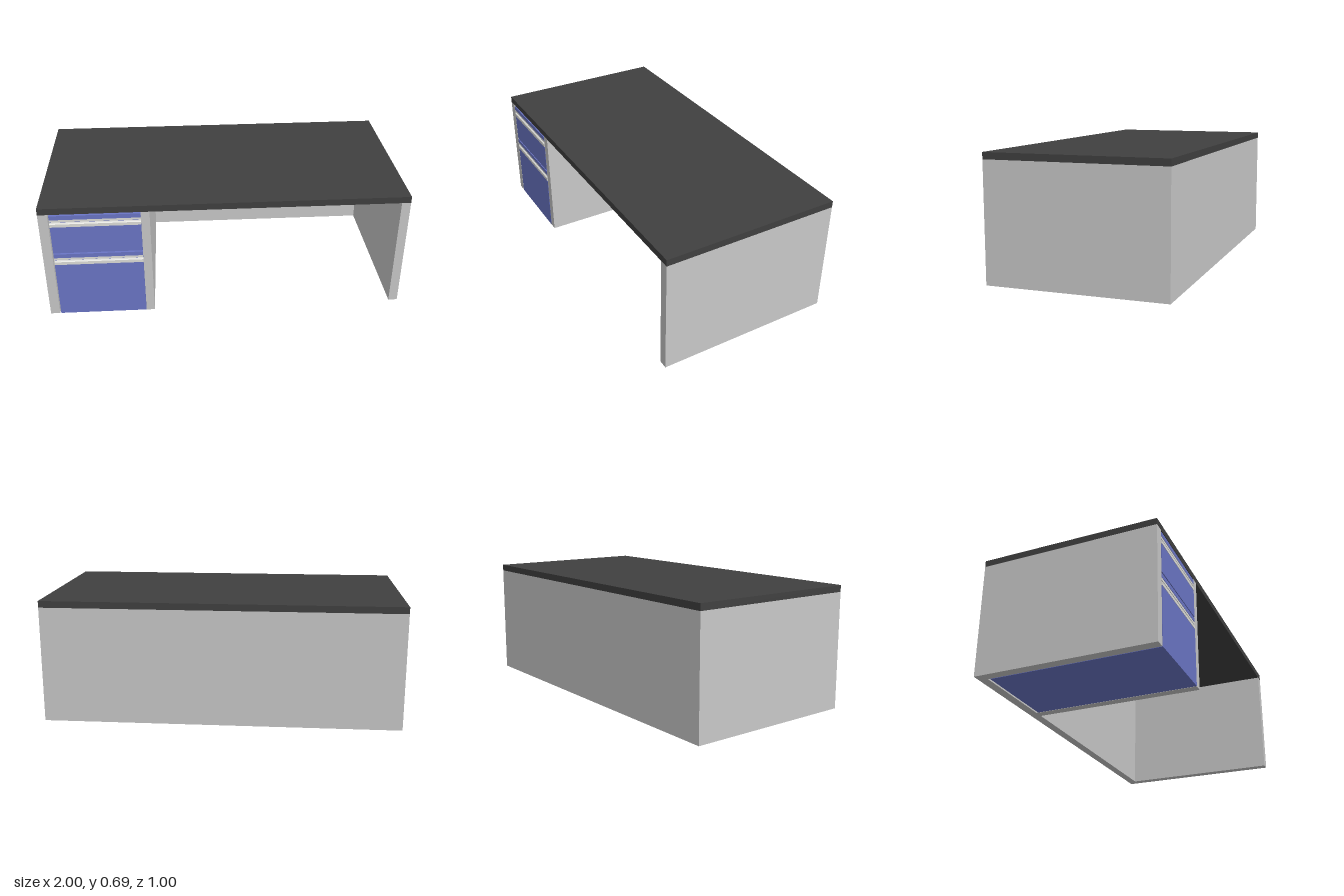
import * as THREE from 'three';

const mat = (name, color) => {
  const m = new THREE.MeshStandardMaterial({ color });
  m.name = name;
  return m;
};

export function createModel() {
  const desk = new THREE.Group();
  desk.name = 'desk';
  const charcoal = mat('charcoal top', 0x404040);
  const grey = mat('grey panel', 0xc8c8c8);
  const blue = mat('blue drawer', 0x6b76c6);
  const pale = mat('pale handle', 0xdededa);

  // box given by its minimum and maximum on each axis
  const box = (name, material, [x0, x1], [y0, y1], [z0, z1], parent = desk) => {
    const mesh = new THREE.Mesh(new THREE.BoxGeometry(x1 - x0, y1 - y0, z1 - z0), material);
    mesh.position.set((x0 + x1) / 2, (y0 + y1) / 2, (z0 + z1) / 2);
    mesh.name = name;
    parent.add(mesh);
  };

  // worktop and standing panels
  const top = 0.653, front = 0.497;
  box('worktop', charcoal, [-1, 1], [top, 0.69], [-0.5, front]);
  box('backPanel', grey, [-1, 1], [0, top], [-0.5, -0.45]);
  box('rightPanel', grey, [-1, -0.948], [0, top], [-0.45, front]);
  box('middlePanel', grey, [-0.457, -0.41], [0, top], [-0.45, front]);
  box('leftPanel', grey, [0.95, 1], [0, top], [-0.45, front]);

  // drawers: body, front split by a finger groove, and pale pull strips
  const xs = [-0.942, -0.458];
  const drawer = (name, y0, y1, lip) => {
    const g = new THREE.Group();
    g.name = name;
    desk.add(g);
    box('drawerBody', blue, xs, [y0, y1], [-0.44, 0.485], g);
    box('lowerFront', blue, xs, [y0, lip - 0.022], [0.485, 0.498], g);
    box('upperFront', blue, xs, [lip + 0.022, y1], [0.485, 0.498], g);
    box('grooveTrim', pale, xs, [lip + 0.008, lip + 0.022], [0.485, 0.496], g);

    // pull strip with a chamfered upper edge
    const s = new THREE.Shape();
    [[0.485, -0.022], [0.5, -0.022], [0.5, -0.004], [0.496, 0], [0.485, 0]]
      .forEach(([z, y], i) => (i ? s.lineTo(-z, y) : s.moveTo(-z, y)));
    const geo = new THREE.ExtrudeGeometry(s, { depth: xs[1] - xs[0], bevelEnabled: false });
    const pull = new THREE.Mesh(geo, pale);
    pull.rotation.y = Math.PI / 2;
    pull.position.set(xs[0], lip, 0);
    pull.name = 'pullStrip';
    g.add(pull);
  };
  drawer('lowerDrawer', 0.001, 0.402, 0.356);
  drawer('upperDrawer', 0.41, 0.645, 0.598);
  return desk;
}
